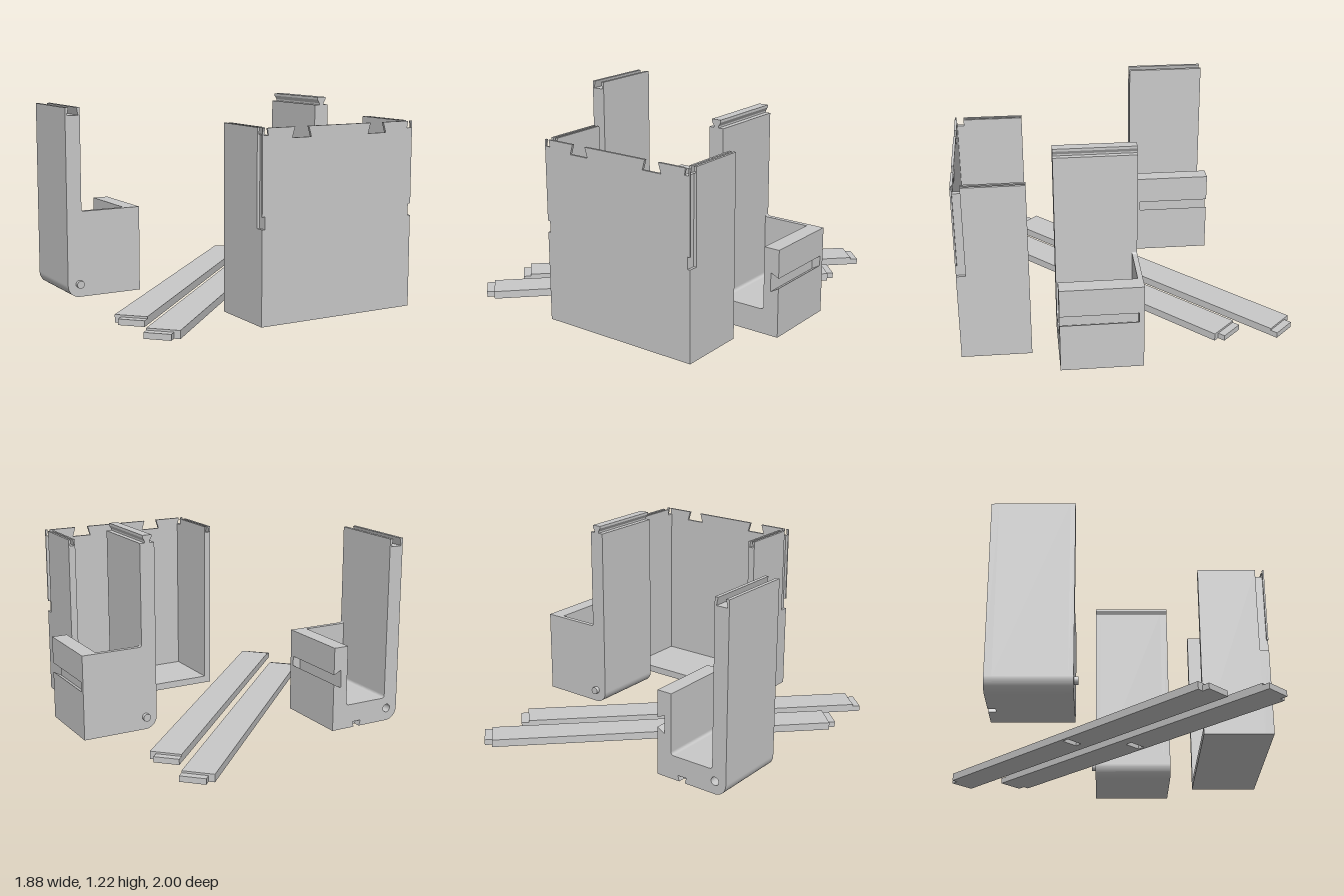
import * as THREE from 'three';

const grey = new THREE.MeshStandardMaterial({ color: 0xc8c8c8 });
grey.name = 'light grey plastic';

const polygon = (pts) => new THREE.Shape(pts.map(([x, y]) => new THREE.Vector2(x, y)));

// Extrude a front-facing profile between two depths.
function slab(name, shape, za, zb) {
  const z0 = Math.min(za, zb);
  const geo = new THREE.ExtrudeGeometry(shape, {
    depth: Math.abs(zb - za), bevelEnabled: false, curveSegments: 10,
  });
  geo.translate(0, 0, z0);
  const mesh = new THREE.Mesh(geo, grey);
  mesh.name = name;
  return mesh;
}

function box(name, x0, x1, y0, y1, z0, z1) {
  const mesh = new THREE.Mesh(new THREE.BoxGeometry(x1 - x0, y1 - y0, z1 - z0), grey);
  mesh.position.set((x0 + x1) / 2, (y0 + y1) / 2, (z0 + z1) / 2);
  mesh.name = name;
  return mesh;
}

// Dovetail cut into a top edge, listed left to right.
const topCut = (cx, mouth, base, top, floor) => [
  [cx - mouth, top], [cx - base, floor], [cx + base, floor], [cx + mouth, top],
];

// Open-backed case: stepped front panel, grooved side walls, floor.
function createCase() {
  const g = new THREE.Group();
  g.name = 'case';
  const cx = 0.235, H = 1.1;
  const mirror = (pts) => pts.map(([x, y]) => [2 * cx - x, y]).reverse();
  const symmetric = (half) => polygon([...half, ...mirror(half)]);
  const notch = topCut(-0.022, 0.045, 0.063, H, 1.04);
  const edgeGroove = topCut(-0.2535, 0.007, 0.014, H, 1.06);

  const face = [[-0.276, 0], [-0.276, 0.545], [-0.259, 0.545], [-0.259, 0.615], [-0.276, 0.615],
    [-0.276, H], ...edgeGroove, ...notch];
  const backing = [[-0.276, 0], [-0.276, 0.545], [-0.259, 0.545], [-0.259, 1.06],
    [-0.232, 1.06], [-0.232, H], ...notch];
  g.add(slab('frontPanel', symmetric(face), 0.99, 1));
  g.add(slab('frontPanelBacking', symmetric(backing), 0.985, 0.99));

  // Side walls with a slot behind the front corner
  const wall = [[-0.276, 0], [-0.276, H], ...edgeGroove, [-0.232, H], [-0.232, 0]];
  const slotted = [[-0.276, 0], [-0.276, 0.545], [-0.259, 0.545], [-0.259, 1.06],
    [-0.232, 1.06], [-0.232, 0]];
  for (const flip of [(p) => p, mirror]) {
    g.add(slab('sideWall', polygon(flip(wall)), 0.585, 0.945));
    g.add(slab('sideWallSlot', polygon(flip(slotted)), 0.945, 0.985));
  }
  g.add(box('caseFloor', -0.232, 0.702, 0, 0.045, 0.585, 0.985));
  return g;
}

// Bin with a tall post: local x runs from the post side, dir points to the open end.
function createBin(name, x, zClosed, dir, topEdge, bottomCut) {
  const g = new THREE.Group();
  g.name = name;
  const W = 0.483, P = 0.095, T = 0.53, R = 0.075;

  function profile({ pocket, side, bottom, hole }) {
    const s = new THREE.Shape();
    s.moveTo(R, 0);
    if (bottom) [[0.285, 0], [0.275, 0.035], [0.335, 0.035], [0.325, 0]].forEach((p) => s.lineTo(...p));
    s.lineTo(W, 0);
    if (side) [[W, 0.3], [W - 0.052, 0.27], [W - 0.052, 0.385], [W, 0.36]].forEach((p) => s.lineTo(...p));
    s.lineTo(W, T);
    if (pocket) {
      s.lineTo(0.385, T);
      s.lineTo(0.385, 0.17);
      s.quadraticCurveTo(0.385, 0.15, 0.365, 0.15);
      s.lineTo(P + 0.02, 0.15);
      s.quadraticCurveTo(P, 0.15, P, 0.17);
    } else {
      s.lineTo(P + 0.015, T);
      s.quadraticCurveTo(P, T, P, T + 0.015);
    }
    topEdge.forEach((p) => s.lineTo(...p));
    s.lineTo(0, R);
    s.absarc(R, R, R, Math.PI, Math.PI * 1.5, false);
    if (hole) s.holes.push(new THREE.Path().absarc(R, 0.08, 0.026, 0, Math.PI * 2, true));
    return s;
  }

  const end = dir * 0.485;
  g.add(slab('endWall', profile({}), 0, dir * 0.03));
  g.add(slab('binBody', profile({ pocket: true, side: true, hole: true }), dir * 0.03, dir * 0.44));
  g.add(slab('binMouth', profile({ pocket: true, side: true, hole: true, bottom: bottomCut }), dir * 0.44, end));

  // Hinge pin on the closed end
  const pin = new THREE.Mesh(new THREE.CylinderGeometry(0.024, 0.024, 0.025, 24), grey);
  pin.name = 'hingePin';
  pin.rotation.x = Math.PI / 2;
  pin.position.set(R, 0.08, -dir * 0.0115);
  g.add(pin);
  g.position.set(x, 0, zClosed);
  return g;
}

// Flat rail lying diagonally, with an end tongue at each end and a slot underneath.
function createRail(name, sum, diff, side) {
  const g = new THREE.Group();
  g.name = name;
  const L = 1.058, W = 0.096;
  const outline = polygon([[-L, -W], [L, -W], [L, W], [-L, W]]);
  const a = side * 0.022;
  const slot = [[-0.022, a - 0.055], [-0.022, a + 0.055], [0.022, a + 0.055], [0.022, a - 0.055]];
  outline.holes.push(new THREE.Path(slot.map(([x, y]) => new THREE.Vector2(x, y))));
  const lower = slab('railBody', outline, 0, 0.033);
  lower.rotation.x = -Math.PI / 2;
  g.add(lower, box('railTop', -L, L, 0.033, 0.047, -W, W));
  const z0 = side > 0 ? W - 0.156 : -W;
  for (const e of [-1, 1]) {
    g.add(box('railTongue', Math.min(e * L, e * (L + 0.046)), Math.max(e * L, e * (L + 0.046)),
      0, 0.035, z0, z0 + 0.156));
  }
  g.rotation.y = Math.PI / 4;
  g.position.set((sum + diff) / 2, 0, (sum - diff) / 2);
  return g;
}

export function createModel() {
  const model = new THREE.Group();
  model.name = 'modularBinKit';

  // Post tops, listed right to left: one grooved, one with a matching tenon
  const groove = [[0.095, 1.163], [0.073, 1.163], [0.084, 1.115], [0.011, 1.115], [0.022, 1.163], [0, 1.163]];
  const tenon = [[0.095, 1.168], [0.063, 1.168], [0.063, 1.178], [0.077, 1.2], [0.077, 1.215],
    [0.018, 1.215], [0.018, 1.2], [0.032, 1.178], [0.032, 1.168], [0, 1.168]];

  model.add(
    createCase(),
    createBin('groovedBin', -0.94, -0.163, -1, groove, true),
    createBin('tenonBin', 0.456, -0.057, 1, tenon, false),
    createRail('backRail', -0.295, 0.06, 1),
    createRail('frontRail', 0.077, -0.262, -1),
  );
  return model;
}
